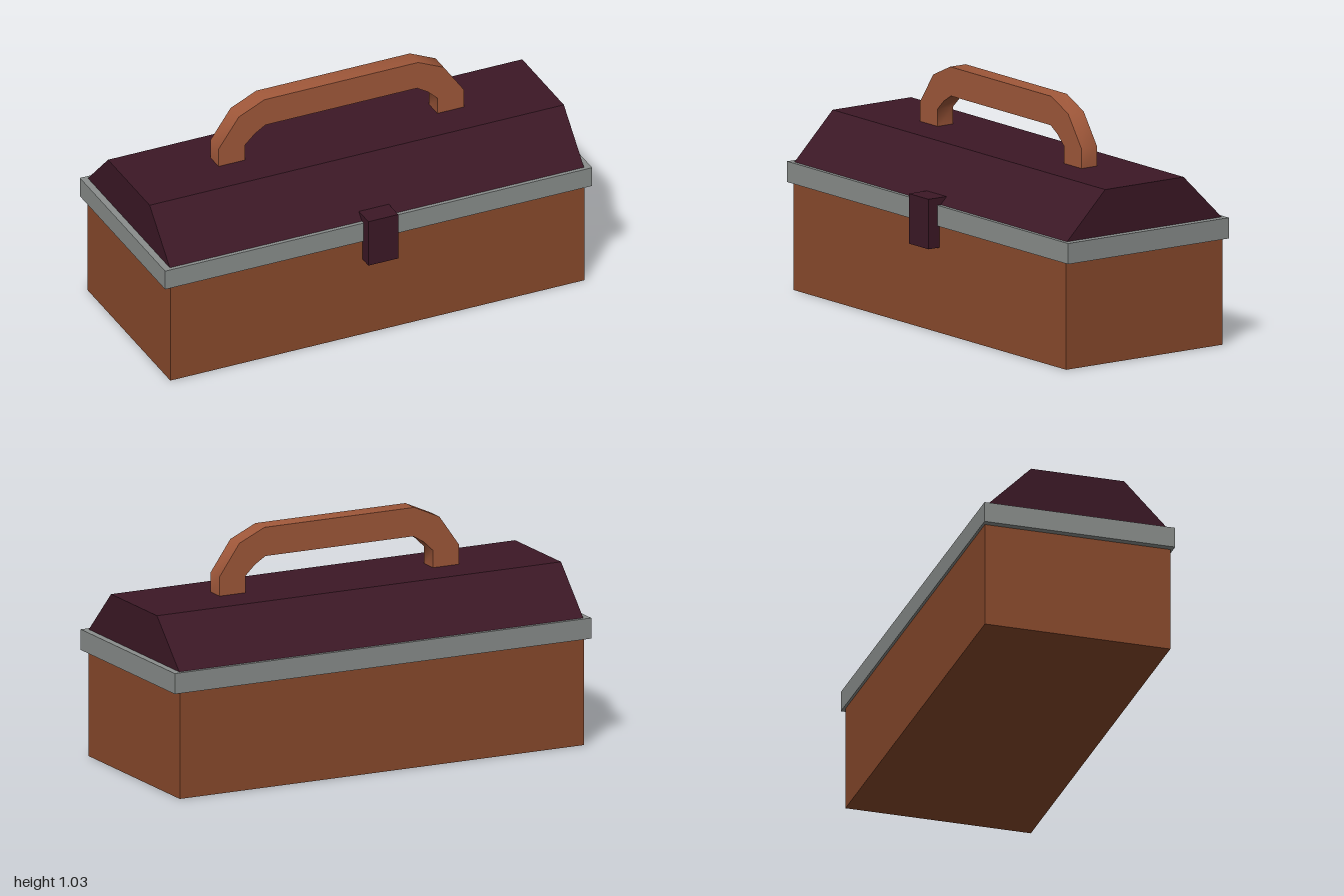
import * as THREE from 'three';
import { toCreasedNormals } from 'three/addons/utils/BufferGeometryUtils.js';

const material = (color) => new THREE.MeshStandardMaterial({ color, roughness: 0.8 });

const CENTER_Z = -0.0225; // the case sits slightly back, the latch sticks out in front

export function createModel() {
  const model = new THREE.Group();
  model.name = 'toolbox';
  const bodyMat = material(0x8a4a2c);
  const lidMat = material(0x3c1826);
  const rimMat = material(0x8a8e8c);
  const handleMat = material(0xa0583a);

  const add = (name, geometry, mat) => {
    const mesh = new THREE.Mesh(geometry, mat);
    mesh.name = name;
    model.add(mesh);
    return mesh;
  };

  // box given by its lower and upper limits on each axis
  const box = (name, [x0, x1], [y0, y1], [z0, z1], mat) =>
    add(name, new THREE.BoxGeometry(x1 - x0, y1 - y0, z1 - z0), mat)
      .position.set((x0 + x1) / 2, (y0 + y1) / 2, (z0 + z1) / 2);

  // extrusion of an outline, centred on its depth
  const prism = (points, depth) => {
    const shape = new THREE.Shape(points.map(([x, y]) => new THREE.Vector2(x, y)));
    return new THREE.ExtrudeGeometry(shape, { depth, bevelEnabled: false, steps: 1 })
      .translate(0, 0, -depth / 2);
  };

  // case and metal rim
  box('body', [-0.97, 0.97], [0, 0.48], [-0.435, 0.39], bodyMat);
  box('rim', [-1, 1], [0.465, 0.555], [-0.446, 0.402], rimMat);

  // lid with sloping front and back, its section runs along x
  const lid = prism([[-0.4125, 0.55], [0.4125, 0.55], [0.207, 0.755], [-0.207, 0.755]], 1.94);
  lid.rotateY(Math.PI / 2);
  add('lid', lid, lidMat).position.z = CENTER_Z;

  // front latch
  box('latch', [-0.07, 0.07], [0.37, 0.587], [0.355, 0.449], lidMat);

  // handle: one half of the arch, mirrored
  const outer = [[0.575, 0.74], [0.575, 0.84], [0.48, 0.975], [0.36, 1.03]];
  const inner = [[0.355, 0.904], [0.405, 0.873], [0.45, 0.83], [0.45, 0.74]];
  const mirror = (points) => points.map(([x, y]) => [-x, y]).reverse();
  const arch = [...outer, ...mirror(outer), ...mirror(inner), ...inner];
  const handle = toCreasedNormals(prism(arch, 0.082), 0.9);
  add('handle', handle, handleMat).position.set(0.005, 0, -0.021);

  return model;
}
